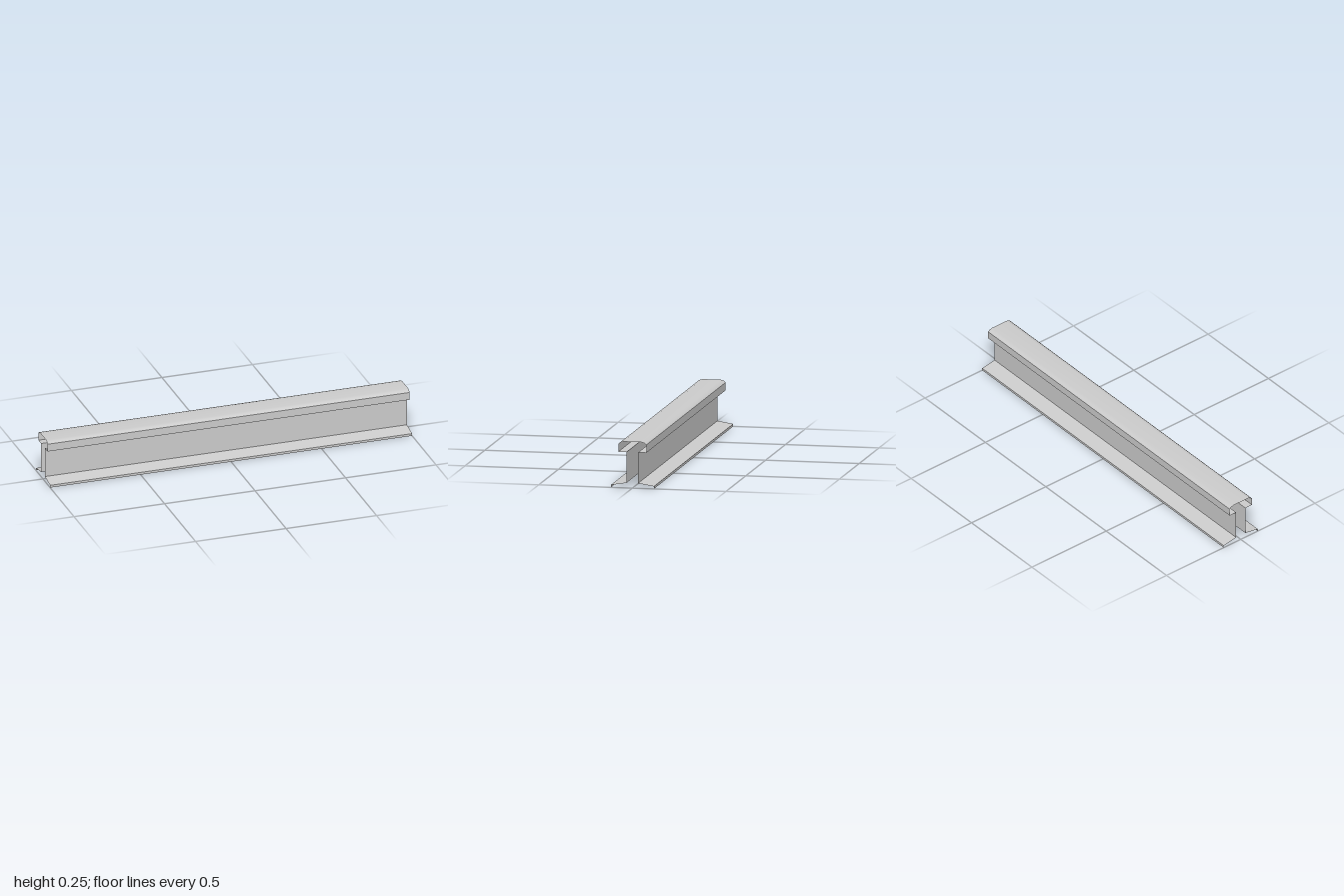
import * as THREE from 'three';

const HALF_LENGTH = 1;
const material = new THREE.MeshStandardMaterial({ color: 0xcccccc, side: THREE.DoubleSide });

// Sheet swept along x through [z, y] points; normals are smooth within one sheet
function sheet(name, points) {
  const positions = [], index = [];
  points.forEach(([z, y], i) => {
    positions.push(-HALF_LENGTH, y, z, HALF_LENGTH, y, z);
    if (i > 0) {
      const a = 2 * (i - 1);
      index.push(a, a + 1, a + 3, a, a + 3, a + 2);
    }
  });
  const geometry = new THREE.BufferGeometry();
  geometry.setAttribute('position', new THREE.Float32BufferAttribute(positions, 3));
  geometry.setIndex(index);
  geometry.computeVertexNormals();
  const mesh = new THREE.Mesh(geometry, material);
  mesh.name = name;
  return mesh;
}

// Mirror a run of points to the back, reversed so it still faces outward
const mirror = (points) => points.map(([z, y]) => [-z, y]).reverse();

export function createModel() {
  const rail = new THREE.Group();
  rail.name = 'rail';

  // Flat sheets of one side, from the foot up to the head
  const sides = {
    FootEdge: [[0.115, 0], [0.115, 0.013]],
    FootTop: [[0.115, 0.013], [0.031, 0.027]],
    Web: [[0.031, 0.027], [0.031, 0.19]],
    HeadUnderside: [[0.031, 0.19], [0.075, 0.19]],
    HeadSide: [[0.075, 0.19], [0.075, 0.232]],
  };
  for (const [part, points] of Object.entries(sides)) {
    rail.add(sheet('front' + part, points), sheet('back' + part, mirror(points)));
  }

  // Rounded running surface across the head
  const shoulder = [[0.075, 0.232], [0.066, 0.24], [0.048, 0.245]];
  rail.add(sheet('headTop', [...shoulder, ...mirror(shoulder)]));

  return rail;
}
